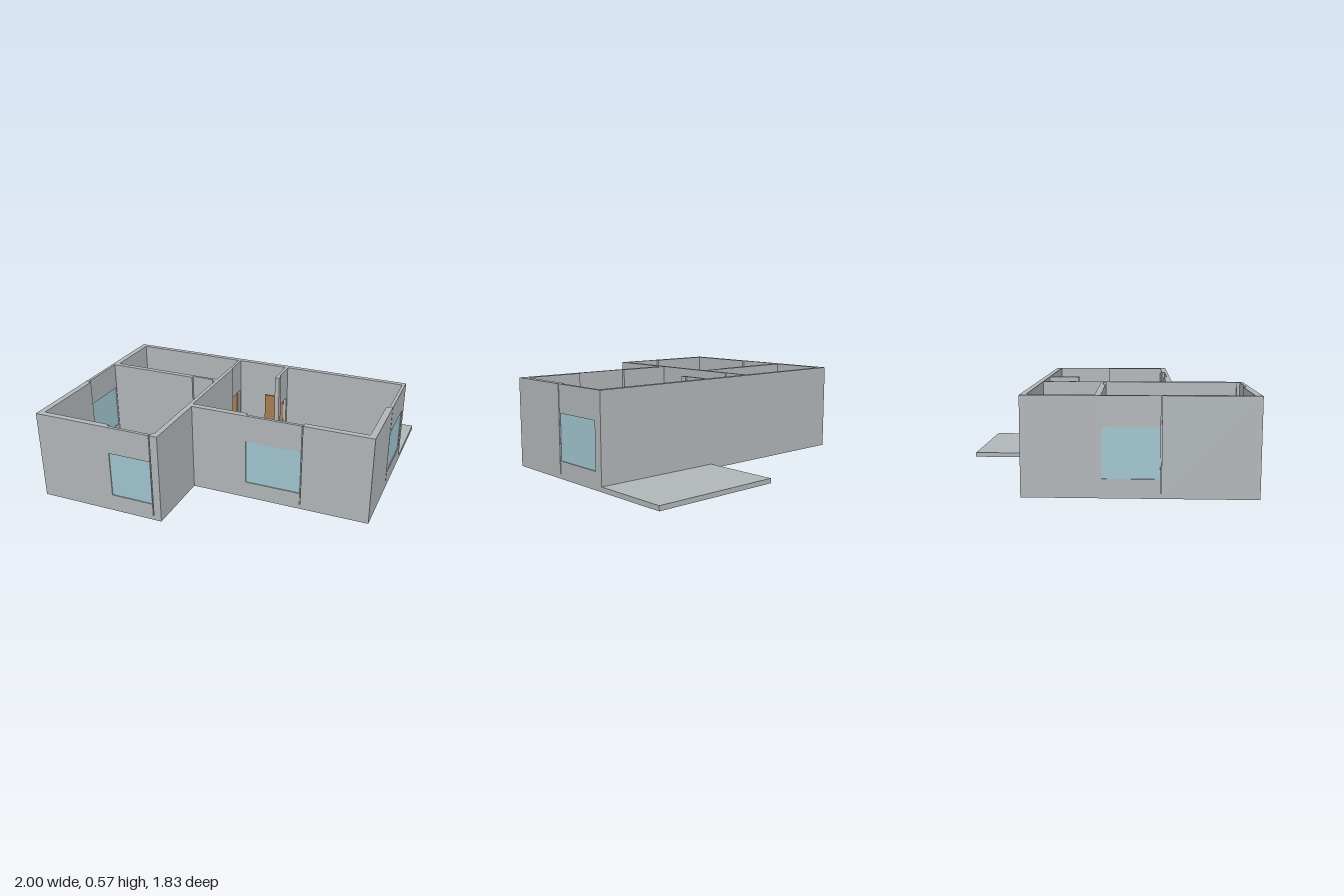
import * as THREE from 'three';

const BASE = 0.03, TOP = 0.575;
const DOOR_TOP = 0.35, SILL = 0.11, HEAD = 0.4;

export function createModel() {
  const model = new THREE.Group();
  model.name = 'roofless house';
  const material = (name, color) => {
    const m = new THREE.MeshStandardMaterial({ color });
    m.name = name;
    return m;
  };
  const plaster = material('grey plaster', 0xb0b5b8);
  const glass = material('pale blue glass', 0x9fc4ce);
  const wood = material('brown wood', 0xa87d50);

  const add = (name, geometry, mat, parent = model) => {
    const mesh = new THREE.Mesh(geometry, mat);
    mesh.name = name;
    parent.add(mesh);
    return mesh;
  };

  // Box given by its limits on x, y and z
  const block = (name, x0, x1, z0, z1, mat = plaster, y0 = BASE, y1 = TOP, parent = model) => {
    const mesh = add(name, new THREE.BoxGeometry(x1 - x0, y1 - y0, z1 - z0), mat, parent);
    mesh.position.set((x0 + x1) / 2, (y0 + y1) / 2, (z0 + z1) / 2);
    return mesh;
  };

  // Box running along 'x' or 'z' from a0 to a1, between d0 and d1 across
  const run = (name, axis, a0, a1, d0, d1, mat, y0, y1, parent) =>
    axis === 'x' ? block(name, a0, a1, d0, d1, mat, y0, y1, parent)
      : block(name, d0, d1, a0, a1, mat, y0, y1, parent);

  // Thin wall panel with a rectangular opening from h0 to h1
  const panel = (name, axis, a0, a1, d0, d1, h0, h1, y0, y1, parent = model) => {
    const shape = new THREE.Shape();
    if (y0 > BASE) {
      shape.moveTo(a0, BASE).lineTo(a1, BASE).lineTo(a1, TOP).lineTo(a0, TOP);
      const hole = new THREE.Path();
      hole.moveTo(h0, y0).lineTo(h0, y1).lineTo(h1, y1).lineTo(h1, y0);
      shape.holes.push(hole);
    } else {
      shape.moveTo(a0, BASE).lineTo(h0, BASE).lineTo(h0, y1).lineTo(h1, y1)
        .lineTo(h1, BASE).lineTo(a1, BASE).lineTo(a1, TOP).lineTo(a0, TOP);
    }
    const geometry = new THREE.ExtrudeGeometry(shape, { depth: d1 - d0, bevelEnabled: false });
    const mesh = add(name, geometry, plaster, parent);
    if (axis === 'x') mesh.position.z = d0;
    else {
      mesh.rotation.y = -Math.PI / 2;
      mesh.position.x = d1;
    }
  };

  // Window bay: panel, recessed pane, and a shallow joint at one end
  const windowBay = (name, axis, a0, a1, d0, d1, h0, h1, joint, recess) => {
    const bay = new THREE.Group();
    bay.name = name;
    model.add(bay);
    panel('windowPanel', axis, a0, a1, d0, d1, h0, h1, SILL, HEAD, bay);
    const mid = (d0 + d1) / 2;
    run('pane', axis, h0, h1, mid - 0.004, mid + 0.004, glass, SILL, HEAD, bay);
    const [j0, j1] = recess > 0 ? [d0 + recess, d1] : [d0, d1 + recess];
    run('wallJoint', axis, joint, joint + 0.006, j0, j1, plaster, BASE, TOP, bay);
  };

  // Floor slab with the terrace and the open shaft at the rear
  const slab = new THREE.Shape([
    [-1, -0.415], [0.145, -0.415], [0.145, -0.915], [1, -0.915],
    [1, 0.46], [-0.165, 0.46], [-0.165, 0.915], [-1, 0.915],
  ].map(([x, z]) => new THREE.Vector2(x, z)));
  slab.holes.push(new THREE.Path([
    [-0.96, -0.38], [-0.96, 0], [-0.485, 0], [-0.485, -0.38],
  ].map(([x, z]) => new THREE.Vector2(x, z))));
  const floor = add('floorAndTerrace',
    new THREE.ExtrudeGeometry(slab, { depth: BASE, bevelEnabled: false }), plaster);
  floor.rotation.x = Math.PI / 2;
  floor.position.y = BASE;

  // Outer walls
  block('backWall', -1, 1, -0.415, -0.38);
  block('leftWallRear', -1, -0.96, -0.38, 0.035);
  block('leftWallFront', -1, -0.96, 0.371, 0.915);
  block('wingFrontWall', -0.96, -0.505, 0.875, 0.915);
  block('wingFrontCorner', -0.214, -0.165, 0.875, 0.915);
  block('hallFrontWallLeft', -0.165, 0.195, 0.42, 0.46);
  block('hallFrontWallRight', 0.566, 1, 0.42, 0.46);
  block('rightWall', 0.96, 1, 0.006, 0.42);

  // Window bays, flush with the outside
  windowBay('wingFrontWindow', 'x', -0.505, -0.22, 0.895, 0.915, -0.5, -0.222, -0.22, -0.008);
  windowBay('hallFrontWindow', 'x', 0.195, 0.56, 0.44, 0.46, 0.2, 0.558, 0.56, -0.008);
  windowBay('leftWindow', 'z', 0.035, 0.365, -1, -0.98, 0.04, 0.363, 0.365, 0.008);
  windowBay('rightWindow', 'z', -0.38, 0, 0.98, 1, -0.36, -0.002, 0, -0.008);

  // Inner walls
  block('middleWallRear', -0.2, -0.175, -0.215, 0.42);
  block('middleWallFront', -0.2, -0.165, 0.42, 0.875);
  block('crossWall', -0.96, -0.37, 0, 0.035);
  block('crossWallEnd', -0.22, -0.2, 0, 0.035);
  block('partitionEnd', 0.155, 0.185, -0.215, -0.175);

  // Doorways and their open leaves
  panel('crossDoorway', 'x', -0.37, -0.22, 0, 0.018, -0.365, -0.225, BASE, DOOR_TOP);
  panel('bathDoorway', 'z', -0.38, -0.215, -0.2, -0.182, -0.36, -0.22, BASE, DOOR_TOP);
  panel('rearDoorway', 'z', -0.38, -0.215, 0.155, 0.175, -0.36, -0.22, BASE, DOOR_TOP);
  block('crossDoor', -0.232, -0.224, -0.145, 0, wood, BASE, DOOR_TOP);
  block('bathDoor', -0.345, -0.205, -0.363, -0.357, wood, BASE, DOOR_TOP);
  block('rearDoor', 0.015, 0.155, -0.363, -0.357, wood, BASE, DOOR_TOP);

  return model;
}
